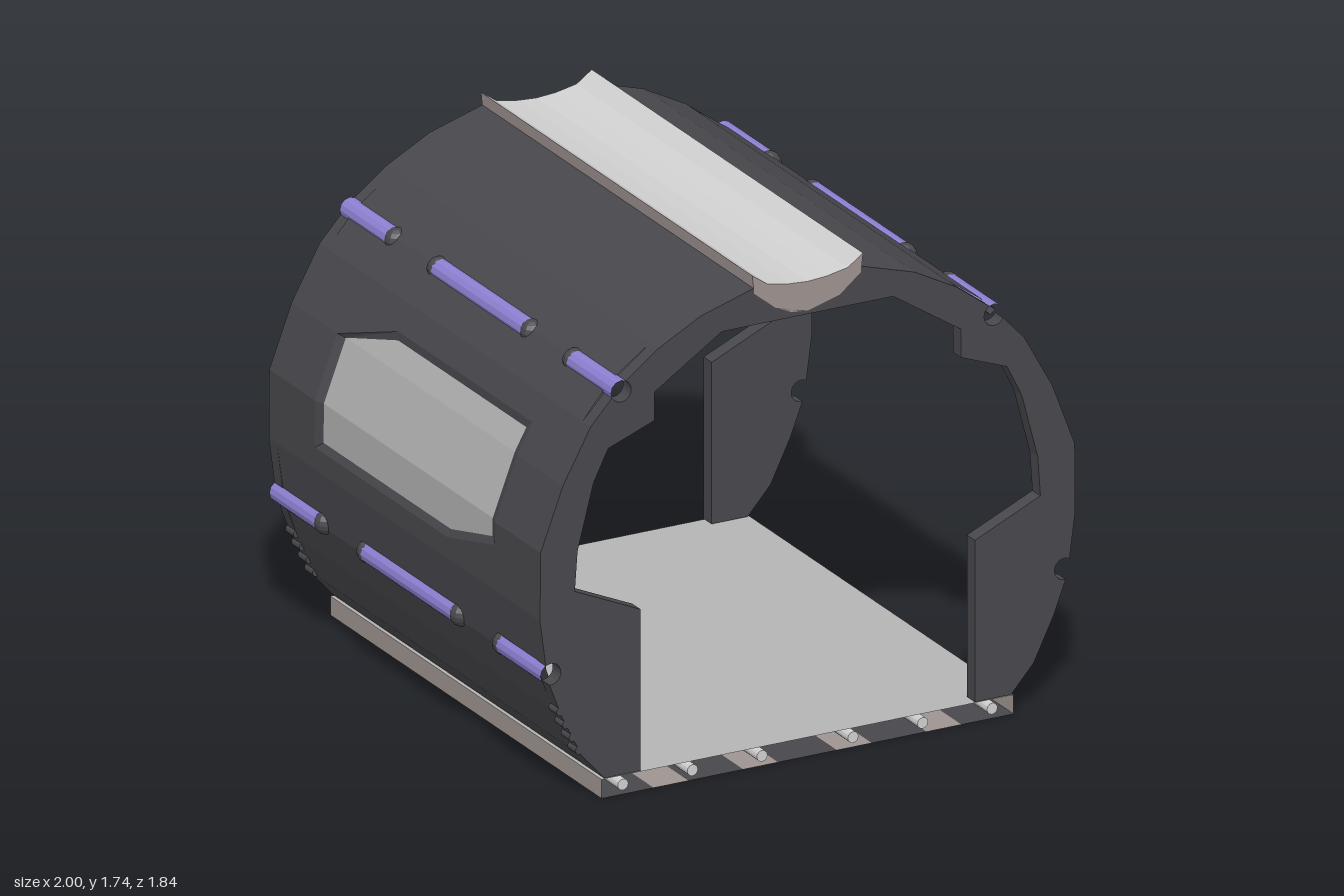
import * as THREE from 'three';

const mat = (name, color, side = THREE.DoubleSide) => {
  const m = new THREE.MeshStandardMaterial({ color, side, flatShading: true });
  m.name = name;
  return m;
};

const D = 0.92, IN = 0.865, WALL = 0.025;

// outer outline, right half, bottom to top
const OUTER = [[0.76, 0.07], [0.845, 0.166], [0.92, 0.32], [0.97, 0.46], [1, 0.67], [0.998, 0.91],
  [0.915, 1.13], [0.81, 1.32], [0.71, 1.44], [0.56, 1.545], [0.4, 1.63], [0.2, 1.69]];
// inner outline of the end frames, right half, bottom to top
const INNER = [[0.625, 0.07], [0.625, 0.64], [0.87, 0.75], [0.86, 0.89], [0.8, 1.12], [0.745, 1.23],
  [0.573, 1.295], [0.573, 1.395], [0.32, 1.56]];
const PIPE_LOW = [0.96, 0.475], PIPE_HIGH = [0.697, 1.422], PIPE_R = 0.038;

const xAt = (y) => {
  let i = 1;
  while (i < OUTER.length - 1 && OUTER[i][1] < y) i++;
  const [a, b] = [OUTER[i - 1], OUTER[i]];
  return a[0] + (b[0] - a[0]) * (y - a[1]) / (b[1] - a[1]);
};
// point on the wall at height y, moved inward by depth
const wallPoint = (y, depth, sx) => {
  const x = xAt(y), l = Math.hypot(x, y - 0.8);
  return [sx * (x - depth * x / l), y - depth * (y - 0.8) / l];
};

function quadMesh(name, quads, material) {
  const pos = [];
  for (const [a, b, c, d] of quads) pos.push(...a, ...b, ...c, ...a, ...c, ...d);
  const g = new THREE.BufferGeometry();
  g.setAttribute('position', new THREE.Float32BufferAttribute(pos, 3));
  g.computeVertexNormals();
  const m = new THREE.Mesh(g, material);
  m.name = name;
  return m;
}

// half-round notch, entered from below and left above
function notch([cx, cy], normal) {
  const pts = [];
  for (let i = 0; i <= 10; i++) {
    const a = normal - Math.PI * (0.4 + 1.2 * i / 10);
    pts.push([cx + PIPE_R * Math.cos(a), cy + PIPE_R * Math.sin(a)]);
  }
  return pts;
}

// window edges for a row list: bottom, lower chamfer, bend, upper chamfer, top
const HOLE = { ys: [0.745, 0.83, 0.91, 1.13, 1.235], l: [0.29, 0.61, 0.61, 0.61, 0.61], r: [-0.61, -0.61, -0.61, -0.61, -0.3] };
const PANE = { ys: [0.77, 0.845, 0.91, 1.13, 1.21], l: [0.29, 0.57, 0.57, 0.57, 0.57], r: [-0.575, -0.575, -0.575, -0.575, -0.3] };

export function createModel() {
  const dark = mat('charcoal', 0x48474c);
  const light = mat('pale grey', 0xd0d0d0);
  const floorGrey = mat('floor grey', 0xb4b4b4);
  const taupe = mat('taupe', 0x9e9390);
  const glass = mat('window grey', 0xb0b0b0);
  const violet = mat('violet', 0x8c80d2, THREE.FrontSide);

  const model = new THREE.Group();
  model.name = 'corridorSection';
  const add = (name, geo, material, x = 0, y = 0, z = 0) => {
    const m = new THREE.Mesh(geo, material);
    m.name = name;
    m.position.set(x, y, z);
    model.add(m);
    return m;
  };
  const rod = (name, r, len, material, x, y, z, open = false) =>
    add(name, new THREE.CylinderGeometry(r, r, len, 12, 1, open).rotateX(Math.PI / 2), material, x, y, z);

  // end frames with pipe notches and a dip for the roof channel
  const rim = [...OUTER.slice(0, 3), ...notch(PIPE_LOW, -0.2), ...OUTER.slice(4, 8),
    ...notch(PIPE_HIGH, 0.8), ...OUTER.slice(9), [0.2, 1.67], [0.12, 1.605], [0, 1.572]];
  const half = [...INNER.slice().reverse(), ...rim];
  const outline = [...half, ...half.slice(0, -1).reverse().map(([x, y]) => [-x, y])];
  const frameGeo = new THREE.ExtrudeGeometry(
    new THREE.Shape(outline.map(([x, y]) => new THREE.Vector2(x, y))),
    { depth: D - IN, bevelEnabled: false });
  add('frontFrame', frameGeo, dark, 0, 0, IN);
  add('backFrame', frameGeo, dark, 0, 0, -D);

  // wall shells: full on one side with a window hole, roof only on the other
  const shell = (name, sx, ys, hole) => {
    const quads = [];
    const row = (y, d, z) => [...wallPoint(y, d, sx), z];
    const span = (y0, y1, a0, b0, a1, b1) => {
      for (const d of [0, WALL])
        quads.push([row(y0, d, a0), row(y0, d, b0), row(y1, d, b1), row(y1, d, a1)]);
    };
    for (let i = 0; i < ys.length - 1; i++) {
      const k = hole ? hole.ys.indexOf(ys[i]) : -1;
      if (k >= 0 && k < hole.ys.length - 1) {
        span(ys[i], ys[i + 1], IN, hole.l[k], IN, hole.l[k + 1]);
        span(ys[i], ys[i + 1], hole.r[k], -IN, hole.r[k + 1], -IN);
      } else span(ys[i], ys[i + 1], IN, -IN, IN, -IN);
    }
    const y = ys[0];
    quads.push([row(y, 0, IN), row(y, 0, -IN), row(y, WALL, -IN), row(y, WALL, IN)]);
    model.add(quadMesh(name, quads, dark));
  };
  const rows = [...new Set([...OUTER.map((p) => p[1]), ...HOLE.ys])].sort((a, b) => a - b);
  shell('sideWall', -1, rows, HOLE);
  shell('roofPanel', 1, [1.415, ...OUTER.slice(8).map((p) => p[1])], null);

  // window pane and its sloped surround
  const loop = (w, d) => {
    const pt = (i, z) => [...wallPoint(w.ys[i], d, -1), z];
    return [...w.ys.map((_, i) => pt(i, w.l[i])), ...w.ys.map((_, i) => pt(i, w.r[i])).reverse()];
  };
  const paneLoop = loop(PANE, 0.014);
  const surround = [];
  for (const edge of [loop(HOLE, 0), loop(HOLE, WALL)])
    edge.forEach((p, i) => {
      const j = (i + 1) % edge.length;
      surround.push([p, edge[j], paneLoop[j], paneLoop[i]]);
    });
  model.add(quadMesh('windowSurround', surround, dark));
  const pane = [];
  for (let i = 0; i < 4; i++) pane.push([paneLoop[i], paneLoop[9 - i], paneLoop[8 - i], paneLoop[i + 1]]);
  model.add(quadMesh('windowPane', pane, glass));

  // pipe runs with dark rounded sockets
  const ball = new THREE.SphereGeometry(0.041, 12, 8);
  const pipeRun = (x, y) => {
    rod('middlePipe', PIPE_R, 0.62, violet, x, y, 0, true);
    for (const s of [-1, 1]) {
      rod('endPipe', PIPE_R, 0.32, violet, x, y, s * 0.76, true);
      add('pipeSocket', ball, dark, x, y, s * 0.315);
      add('pipeSocket', ball, dark, x, y, s * 0.605);
    }
  };
  pipeRun(-PIPE_LOW[0], PIPE_LOW[1]);
  pipeRun(-PIPE_HIGH[0], PIPE_HIGH[1]);
  pipeRun(PIPE_HIGH[0], PIPE_HIGH[1]);
  for (const s of [-1, 1]) rod('pipeStub', PIPE_R, D - IN, violet, PIPE_LOW[0], PIPE_LOW[1], s * (D + IN) / 2, true);

  // ribs along the lower wall, showing as bumps on the frame rims
  for (let i = 0; i < 4; i++) {
    const y = 0.185 + i * 0.05;
    const [x, yy] = wallPoint(y, 0.03, -1);
    rod('wallRib', 0.016, 2 * IN, dark, x, yy, 0);
    const [bx, by] = wallPoint(y, 0.002, -1);
    for (const s of [-1, 1]) rod('rimBump', 0.015, D - IN, dark, bx, by, s * (D + IN) / 2);
  }

  // roof channel: pale trough, taupe sides and ends
  const top = [[-0.207, 1.735], [-0.15, 1.695], [-0.07, 1.68], [0, 1.675], [0.07, 1.68], [0.15, 1.695], [0.207, 1.735]];
  const under = [[-0.2, 1.67], [-0.12, 1.605], [-0.06, 1.578], [0, 1.57], [0.06, 1.578], [0.12, 1.605], [0.2, 1.67]];
  const sweep = (pts) => pts.slice(1).map((q, i) =>
    [[...pts[i], D], [...q, D], [...q, -D], [...pts[i], -D]]);
  model.add(quadMesh('channelTrough', sweep(top), light));
  model.add(quadMesh('channelUnderside', sweep(under.slice(1, 6)), light));
  const sides = [...sweep(under.slice(0, 2)), ...sweep(under.slice(5)),
    ...sweep([top[0], under[0]]), ...sweep([top[6], under[6]])];
  for (const z of [D, -D])
    for (let i = 0; i < 6; i++)
      sides.push([[...under[i], z], [...under[i + 1], z], [...top[i + 1], z], [...top[i], z]]);
  model.add(quadMesh('channelSides', sides, taupe));

  // hollow floor: top sheet, side strips, striped underside and inner rods
  const W = 0.77, H = 0.067;
  const flat = (x0, x1, y) => sweep([[x0, y], [x1, y]]);
  model.add(quadMesh('floorTop', flat(-W, W, H), floorGrey));
  model.add(quadMesh('floorSides', [...sweep([[-W, 0], [-W, H]]), ...sweep([[W, 0], [W, H]])], taupe));
  const edges = [-W, -0.575, -0.445, -0.24, -0.11, 0.11, 0.24, 0.445, 0.575, W];
  for (let i = 0; i < 9; i++)
    model.add(quadMesh('floorStripe', flat(edges[i], edges[i + 1], 0), i % 2 ? taupe : dark));
  for (const x of [0.17, 0.43, 0.69])
    for (const s of [-1, 1]) rod('floorRod', 0.02, 2 * D, light, s * x, 0.034, 0);

  return model;
}
